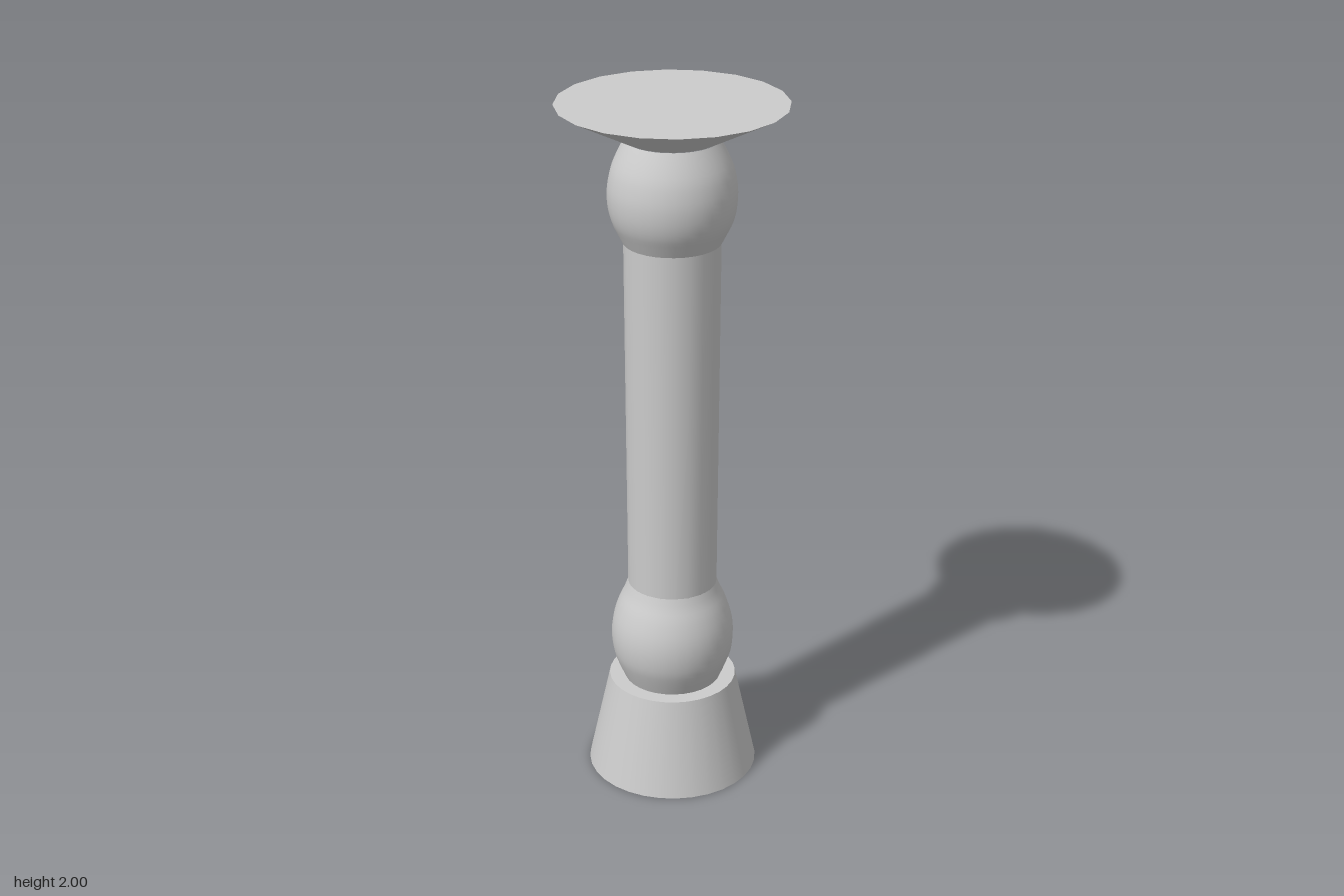
import * as THREE from 'three';

const SIDES = 20;
const SHAFT_Z = 0.011; // the shaft and foot sit slightly forward of the top plate

export function createModel() {
  const model = new THREE.Group();
  model.name = 'pedestal';
  const material = new THREE.MeshStandardMaterial({ color: 0xcccccc });

  function add(name, geometry, y, z) {
    const mesh = new THREE.Mesh(geometry, material);
    mesh.name = name;
    mesh.position.set(0, y, z);
    model.add(mesh);
  }

  // Truncated cone between two heights, closed at both ends
  function cone(name, y0, r0, y1, r1, z, sides) {
    add(name, new THREE.CylinderGeometry(r1, r0, y1 - y0, sides), (y0 + y1) / 2, z);
  }

  // Rounded bulge turned from a smooth [radius, height] profile
  function bulge(name, profile) {
    const curve = new THREE.SplineCurve(profile.map(([r, y]) => new THREE.Vector2(r, y)));
    add(name, new THREE.LatheGeometry(curve.getPoints(20), 32), 0, SHAFT_Z);
  }

  // Tapered foot
  cone('foot', 0, 0.245, 0.285, 0.183, SHAFT_Z, 32);

  // Shaft, widening slightly upward
  cone('shaft', 0.58, 0.127, 1.63, 0.133, SHAFT_Z, SIDES);

  // Knobs at both ends of the shaft
  bulge('lowerKnob', [
    [0.138, 0.283], [0.158, 0.33], [0.171, 0.37], [0.176, 0.42],
    [0.171, 0.47], [0.156, 0.52], [0.138, 0.56], [0.127, 0.59],
  ]);
  bulge('upperKnob', [
    [0.135, 1.62], [0.15, 1.65], [0.164, 1.68], [0.173, 1.715], [0.176, 1.754],
    [0.173, 1.79], [0.164, 1.83], [0.147, 1.87], [0.128, 1.907],
  ]);

  // Flared top plate
  cone('topPlate', 1.905, 0.13, 2, 0.315, 0, SIDES);

  return model;
}
